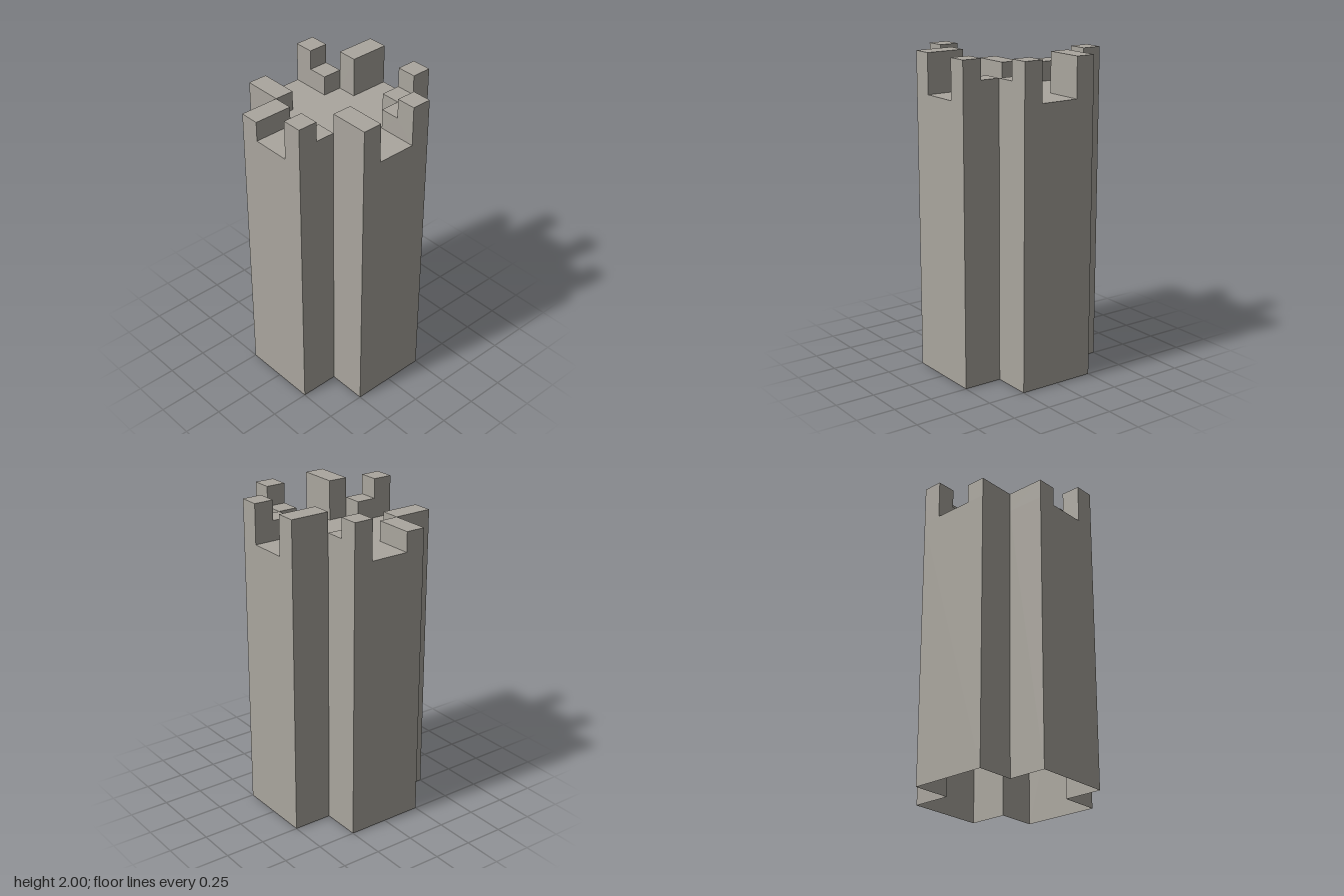
import * as THREE from 'three';

const IN = 0.25, OUT = 0.5;          // inner corner and arm end of the cross plan
const DECK = 1.75, LOW = 1.875, TOP = 2;

function polygon(points) {
  return new THREE.Shape(points.map(([x, y]) => new THREE.Vector2(x, y)));
}

// Battlement profiles: distance from the centre, height
const profiles = {
  full: polygon([[IN, DECK], [OUT, DECK], [OUT, TOP], [IN, TOP]]),
  low: polygon([[IN, DECK], [OUT, DECK], [OUT, LOW], [IN, LOW]]),
  stepped: polygon([[IN, DECK], [OUT, DECK], [OUT, TOP], [0.375, TOP], [0.375, LOW], [IN, LOW]]),
};

export function createModel() {
  const stone = new THREE.MeshStandardMaterial({ color: 0xaaa69e, side: THREE.DoubleSide });
  stone.name = 'stone';
  const model = new THREE.Group();
  model.name = 'tower';

  const add = (name, geometry, parent = model) => {
    const mesh = new THREE.Mesh(geometry, stone);
    mesh.name = name;
    parent.add(mesh);
    return mesh;
  };

  const cross = polygon([
    [IN, IN], [IN, OUT], [-IN, OUT], [-IN, IN], [-OUT, IN], [-OUT, -IN],
    [-IN, -IN], [-IN, -OUT], [IN, -OUT], [IN, -IN], [OUT, -IN], [OUT, IN],
  ]);

  // Hollow walls, open below: only the side faces of the extruded cross
  const prism = new THREE.ExtrudeGeometry(cross, { depth: DECK, bevelEnabled: false });
  const sides = prism.groups[1];
  const walls = new THREE.BufferGeometry();
  for (const [key, size] of [['position', 3], ['normal', 3]]) {
    const part = prism.attributes[key].array.slice(sides.start * size, (sides.start + sides.count) * size);
    walls.setAttribute(key, new THREE.BufferAttribute(part, size));
  }
  add('walls', walls.rotateX(-Math.PI / 2));

  // Roof deck between the battlements
  add('deck', new THREE.ShapeGeometry(cross).rotateX(-Math.PI / 2).translate(0, DECK, 0));

  // Two battlements on each arm, in different states of wear
  const arms = [
    ['leftArm', 0, 'full', 'stepped'],
    ['backArm', Math.PI / 2, 'stepped', 'full'],
    ['rightArm', Math.PI, 'stepped', 'low'],
    ['frontArm', -Math.PI / 2, 'low', 'stepped'],
  ];
  for (const [name, angle, plusSide, minusSide] of arms) {
    const arm = new THREE.Group();
    arm.name = name;
    for (const [kind, z] of [[plusSide, 0.125], [minusSide, -0.25]]) {
      const block = new THREE.ExtrudeGeometry(profiles[kind], { depth: 0.125, bevelEnabled: false });
      add(kind + 'Battlement', block.translate(0, 0, z), arm);
    }
    arm.rotation.y = angle;
    model.add(arm);
  }
  return model;
}
